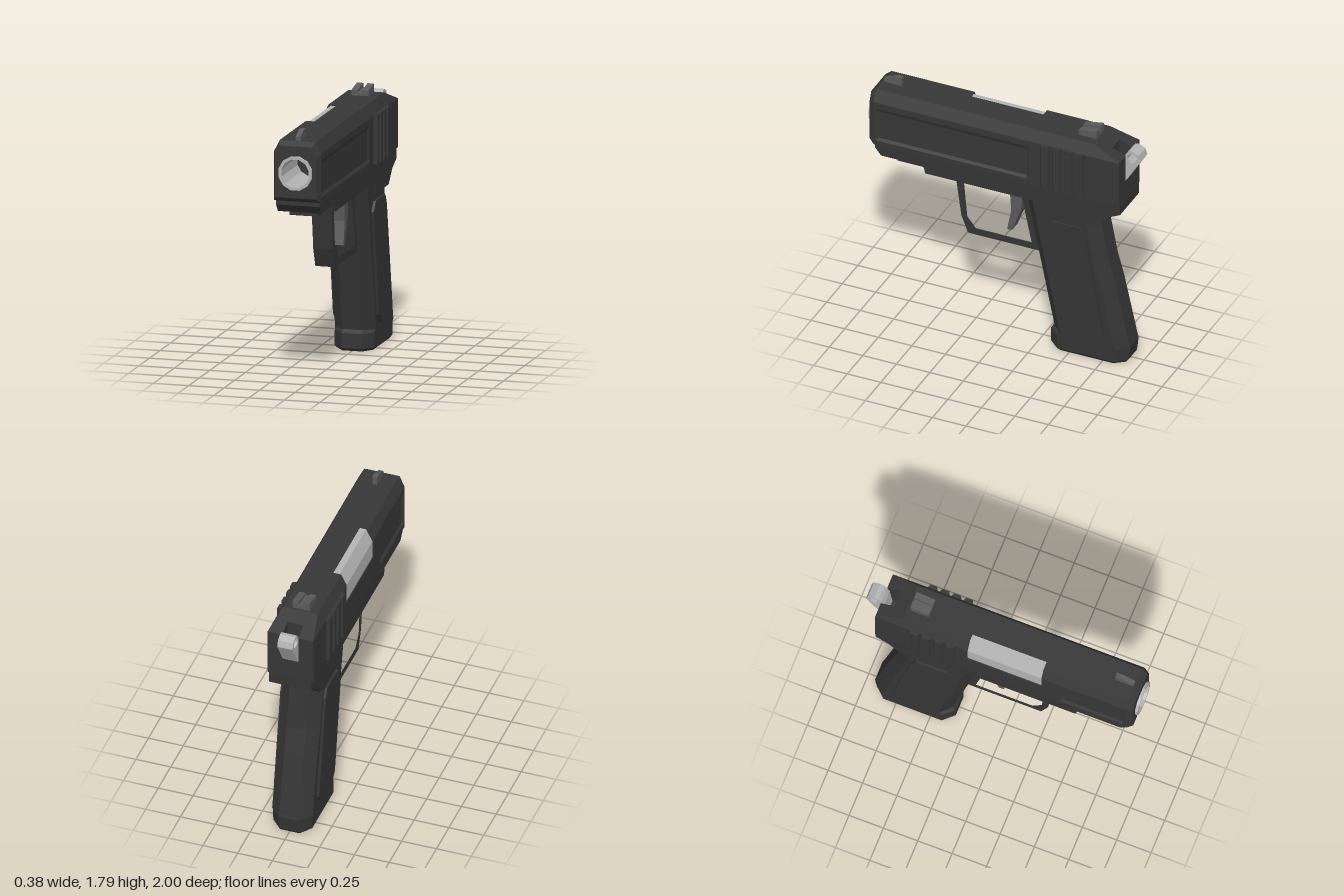
import * as THREE from 'three';

const mat = (name, color) => {
  const m = new THREE.MeshStandardMaterial({ color });
  m.name = name;
  return m;
};

// Polygon ring of n points, flat side up
const ring = (cx, cy, r, n) => Array.from({ length: n }, (_, i) => {
  const a = ((i + 0.5) / n) * Math.PI * 2;
  return [cx + r * Math.cos(a), cy + r * Math.sin(a)];
});
const vecs = (pts) => pts.map(([x, y]) => new THREE.Vector2(x, y));

// Faceted solid through sections [at, points], ordered from high to low "at";
// points run counter-clockwise. An optional hole opens the first cap.
function loft(sections, hole) {
  const out = [];
  const put = (z, p) => out.push(p[0], p[1], z);
  for (let s = 0; s < sections.length - 1; s++) {
    const [za, a] = sections[s], [zb, b] = sections[s + 1];
    for (let i = 0; i < a.length; i++) {
      const j = (i + 1) % a.length;
      put(za, a[i]); put(zb, b[i]); put(zb, b[j]);
      put(za, a[i]); put(zb, b[j]); put(za, a[j]);
    }
  }
  const cap = ([z, pts], sign, holes) => {
    const all = pts.concat(...holes);
    for (const t of THREE.ShapeUtils.triangulateShape(vecs(pts), holes.map(vecs))) {
      const [p, q, r] = t.map((i) => all[i]);
      const area = (q[0] - p[0]) * (r[1] - p[1]) - (q[1] - p[1]) * (r[0] - p[0]);
      for (const v of area * sign > 0 ? [p, q, r] : [p, r, q]) put(z, v);
    }
  };
  cap(sections[0], 1, hole ? [hole] : []);
  cap(sections[sections.length - 1], -1, []);
  const g = new THREE.BufferGeometry();
  g.setAttribute('position', new THREE.Float32BufferAttribute(out, 3));
  g.computeVertexNormals();
  return g;
}
// Same, stacked along y: points are (x, -z)
const loftY = (sections) => loft(sections).rotateX(-Math.PI / 2);

// Side outline in (z, y), extruded across x from x0 to x1
function sidePlate(pts, x0, x1, hole) {
  const shape = new THREE.Shape(vecs(pts));
  if (hole) shape.holes.push(new THREE.Path(vecs(hole)));
  return new THREE.ExtrudeGeometry(shape, { depth: x1 - x0, bevelEnabled: false })
    .rotateY(-Math.PI / 2).translate(x1, 0, 0);
}

export function createModel() {
  const model = new THREE.Group();
  const slideBlack = mat('slide black', 0x373737);
  const frameBlack = mat('frame black', 0x353535);
  const steel = mat('bare steel', 0xb4b4b4);
  const grey = mat('dark grey metal', 0x5a5a5a);
  const add = (name, geometry, material, parent = model) => {
    const m = new THREE.Mesh(geometry, material);
    m.name = name;
    parent.add(m);
    return m;
  };

  // Slide: chamfered section with shallow side recesses
  const slide = new THREE.Group();
  slide.name = 'slide';
  model.add(slide);
  const W = 0.165, T = 0.125;
  const rightHalf = (r, w, t, lo, sh, hi) =>
    [[w, lo], [w, 1.345], [w - r, 1.365], [w - r, 1.575], [w, 1.605], [w, sh], [t, hi]];
  const section = (rl, rr, w = W, t = T, lo = 1.31, sh = 1.65, hi = 1.73) => [
    ...rightHalf(rr, w, t, lo, sh, hi),
    ...rightHalf(rl, w, t, lo, sh, hi).reverse().map(([x, y]) => [-x, y]),
  ];
  const R = 0.013, boreY = 1.515;
  add('slideFront', loft([
    [0.98, section(0, 0, 0.145, 0.115, 1.34, 1.63, 1.7)],
    [0.94, section(0, 0)], [0.93, section(0, 0)], [0.905, section(R, R)],
    [0.475, section(R, R)], [0.45, section(0, R)], [0.32, section(0, R)],
  ], ring(0, boreY, 0.112, 12)), slideBlack, slide);

  // Middle of the slide, cut away for the ejection port
  const portCut = (rr) => [...rightHalf(rr, W, T, 1.31, 1.65, 1.73),
    [-0.065, 1.73], [-0.065, 1.6], [-0.12, 1.5], [-W, 1.5], [-W, 1.31]];
  add('slideMiddle', loft([[0.32, portCut(R)], [-0.195, portCut(R)], [-0.22, portCut(0)]]),
    slideBlack, slide);
  const chamberPts = [[-0.05, 1.49], [-0.05, 1.722], [-0.11, 1.722], [-0.157, 1.63], [-0.157, 1.49]];
  add('chamber', loft([[0.325, chamberPts], [-0.225, chamberPts]]), steel, slide);

  // Rear of the slide, sloping down, with the hammer slot
  add('slideRear', loft([[-0.22, section(0, 0)], [-0.69, section(0, 0)],
    [-0.79, section(0, 0, W, 0.145, 1.31, 1.65, 1.69)]]), slideBlack, slide);
  const slotted = (t, hi) => {
    const half = [[W, 1.31], [W, 1.65], [t, hi], [0.058, hi], [0.058, 1.45]];
    return [...half, ...half.slice().reverse().map(([x, y]) => [-x, y])];
  };
  add('slideTail', loft([[-0.79, slotted(0.145, 1.69)], [-0.89, slotted(0.164, 1.651)]]),
    slideBlack, slide);

  // Grip ridges on both sides of the slide
  for (const s of [-1, 1]) {
    for (let i = 0; i < 4; i++) {
      const z = -0.342 - i * 0.086;
      const pts = [[0.155, -z - 0.036], [0.165, -z - 0.036], [0.19, -z - 0.024],
        [0.19, -z + 0.024], [0.165, -z + 0.036], [0.155, -z + 0.036]];
      const p = s > 0 ? pts : pts.map(([x, v]) => [-x, v]).reverse();
      add('slideRidge', loftY([[1.655, p], [1.312, p]]), slideBlack, slide);
    }
  }

  // Barrel tube and its dark inner end
  const tube = new THREE.Shape(vecs(ring(0, boreY, 0.12, 12)));
  tube.holes.push(new THREE.Path(vecs(ring(0, boreY, 0.1, 12))));
  add('barrel', new THREE.ExtrudeGeometry(tube, { depth: 0.4, bevelEnabled: false })
    .translate(0, 0, 0.6), steel);
  add('boreEnd', new THREE.CircleGeometry(0.11, 12).translate(0, boreY, 0.61), slideBlack);

  // Sights
  add('frontSight', sidePlate([[0.93, 1.72], [0.93, 1.755], [0.84, 1.79], [0.8, 1.79],
    [0.8, 1.72]], -0.017, 0.017), grey);
  add('rearSightBase', sidePlate([[-0.54, 1.72], [-0.54, 1.75], [-0.675, 1.76],
    [-0.675, 1.72]], -0.06, 0.06), grey);
  for (const x of [-0.06, 0.015]) {
    add('rearSightPost', sidePlate([[-0.54, 1.74], [-0.54, 1.767], [-0.675, 1.79],
      [-0.675, 1.74]], x, x + 0.045), grey);
  }

  // Hammer with ring-shaped spur
  add('hammer', sidePlate([[-0.87, 1.62], [-0.89, 1.665], [-0.91, 1.69], [-0.94, 1.697],
    [-0.985, 1.675], [-1, 1.63], [-0.89, 1.45], [-0.85, 1.45]], -0.055, 0.055,
  ring(-0.937, 1.642, 0.037, 8)), steel);

  // Frame under the slide
  add('frame', sidePlate([[0.935, 1.315], [0.935, 1.28], [0.89, 1.225], [0.575, 1.225],
    [0.56, 1.17], [-0.385, 1.17], [-0.41, 1.09], [-0.71, 1.09], [-0.8, 1.185],
    [-0.892, 1.23], [-0.892, 1.315]], -0.153, 0.153), frameBlack);
  add('accessoryRail', sidePlate([[0.79, 1.23], [0.79, 1.18], [0.55, 1.18], [0.55, 1.23]],
    -0.1, 0.1), frameBlack);

  // Trigger and its guard
  add('triggerGuard', sidePlate([[0.375, 1.18], [0.33, 0.85], [0.28, 0.72], [-0.3, 0.72],
    [-0.3, 1.18]], -0.07, 0.07, [[0.31, 1.12], [0.285, 0.85], [0.22, 0.77], [-0.195, 0.77],
    [-0.12, 1.12]]), frameBlack);
  add('trigger', sidePlate([[-0.02, 1.13], [-0.03, 0.97], [0, 0.81], [-0.035, 0.81],
    [-0.1, 0.98], [-0.122, 1.13]], -0.045, 0.045), grey);

  // Grip: eight-sided sections stacked downward
  const oct = (zf, zb, w = 0.145, d = 0.075, c = 0.07) => [[-c, -zf], [c, -zf], [w, d - zf],
    [w, -zb - d], [c, -zb], [-c, -zb], [-w, -zb - d], [-w, d - zf]];
  add('grip', loftY([[1.18, oct(-0.155, -0.695)], [1.09, oct(-0.173, -0.71)],
    [0.78, oct(-0.237, -0.77)], [0.6, oct(-0.274, -0.82)], [0.13, oct(-0.37, -0.925)]]), frameBlack);
  add('magazineBase', loftY([[0.15, oct(-0.37, -0.92, 0.138)], [0.125, oct(-0.34, -0.928, 0.14)],
    [0.02, oct(-0.34, -0.915, 0.14)], [0, oct(-0.36, -0.9, 0.125)]]), frameBlack);

  // Raised grip panels, one each side
  const panel = [[-0.325, 0.98], [-0.375, 1.045], [-0.6, 1.045], [-0.635, 0.98],
    [-0.77, 0.24], [-0.725, 0.18], [-0.5, 0.18], [-0.45, 0.24]];
  add('leftGripPanel', sidePlate(panel, 0.14, 0.163), frameBlack);
  add('rightGripPanel', sidePlate(panel, -0.163, -0.14), frameBlack);

  return model;
}
